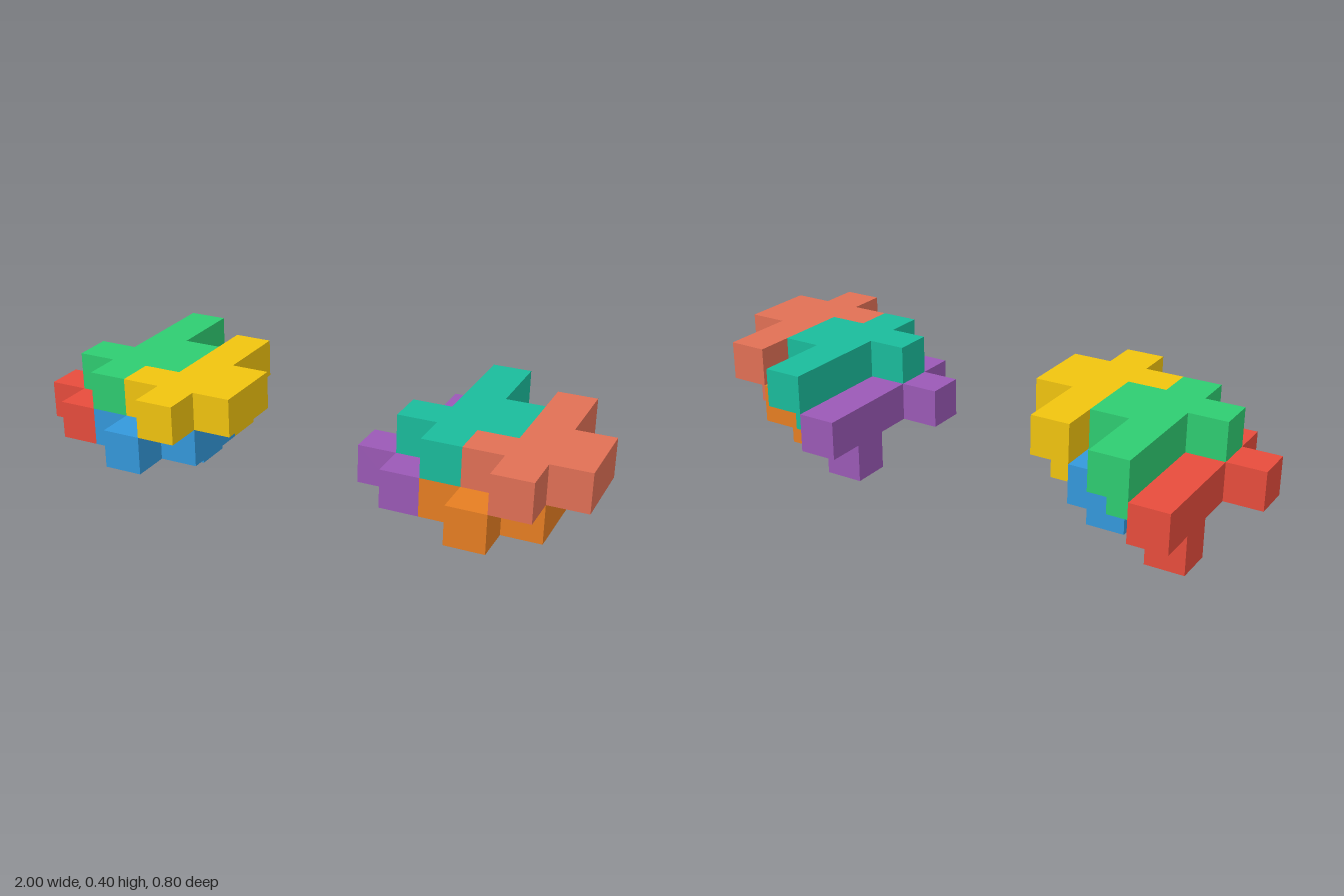
import * as THREE from 'three';

const U = 2 / 15; // edge of one unit cube

// Flat plate outline in unit cells [x, z]: a five-cell bar with
// one cell on its left side and two on its right side.
const OUTLINE = [
  [1, 0], [2, 0], [2, 2], [3, 2], [3, 4], [2, 4],
  [2, 5], [1, 5], [1, 4], [0, 4], [0, 3], [1, 3],
];

function plateGeometry() {
  const shape = new THREE.Shape(OUTLINE.map(([x, z]) => new THREE.Vector2(x * U, -z * U)));
  const geometry = new THREE.ExtrudeGeometry(shape, { depth: U, bevelEnabled: false });
  return geometry.rotateX(-Math.PI / 2); // extrusion now runs upward
}

// One interlocking piece: plate plus a single cube hanging below the bar
function makePiece(name, color, plate, peg) {
  const piece = new THREE.Group();
  piece.name = name;
  const material = new THREE.MeshStandardMaterial({ color });
  const plateMesh = new THREE.Mesh(plate, material);
  plateMesh.name = 'plate';
  const pegMesh = new THREE.Mesh(peg, material);
  pegMesh.name = 'peg';
  pegMesh.position.set(1.5 * U, -0.5 * U, 1.5 * U);
  piece.add(plateMesh, pegMesh);
  return piece;
}

export function createModel() {
  const model = new THREE.Group();
  model.name = 'interlockingCubePieces';
  const plate = plateGeometry();
  const peg = new THREE.BoxGeometry(U, U, U);

  // Cell offsets of the four pieces inside a cluster: [name, x, y, z]
  const layout = [
    ['lowerOuterPiece', 0, 1, 0],
    ['lowerInnerPiece', 2, 1, 1],
    ['upperOuterPiece', 1, 2, 0],
    ['upperInnerPiece', 3, 2, 1],
  ];
  const clusters = [
    ['rightCluster', -1, [0xe74c3c, 0x3498db, 0x2ecc71, 0xf1c40f]],
    ['leftCluster', 0.2, [0x9b59b6, 0xe67e22, 0x1abc9c, 0xe17055]],
  ];

  for (const [name, x, colors] of clusters) {
    const cluster = new THREE.Group();
    cluster.name = name;
    cluster.position.set(x, 0, -3 * U);
    layout.forEach(([pieceName, i, j, k], n) => {
      const piece = makePiece(pieceName, colors[n], plate, peg);
      piece.position.set(i * U, j * U, k * U);
      cluster.add(piece);
    });
    model.add(cluster);
  }
  return model;
}
